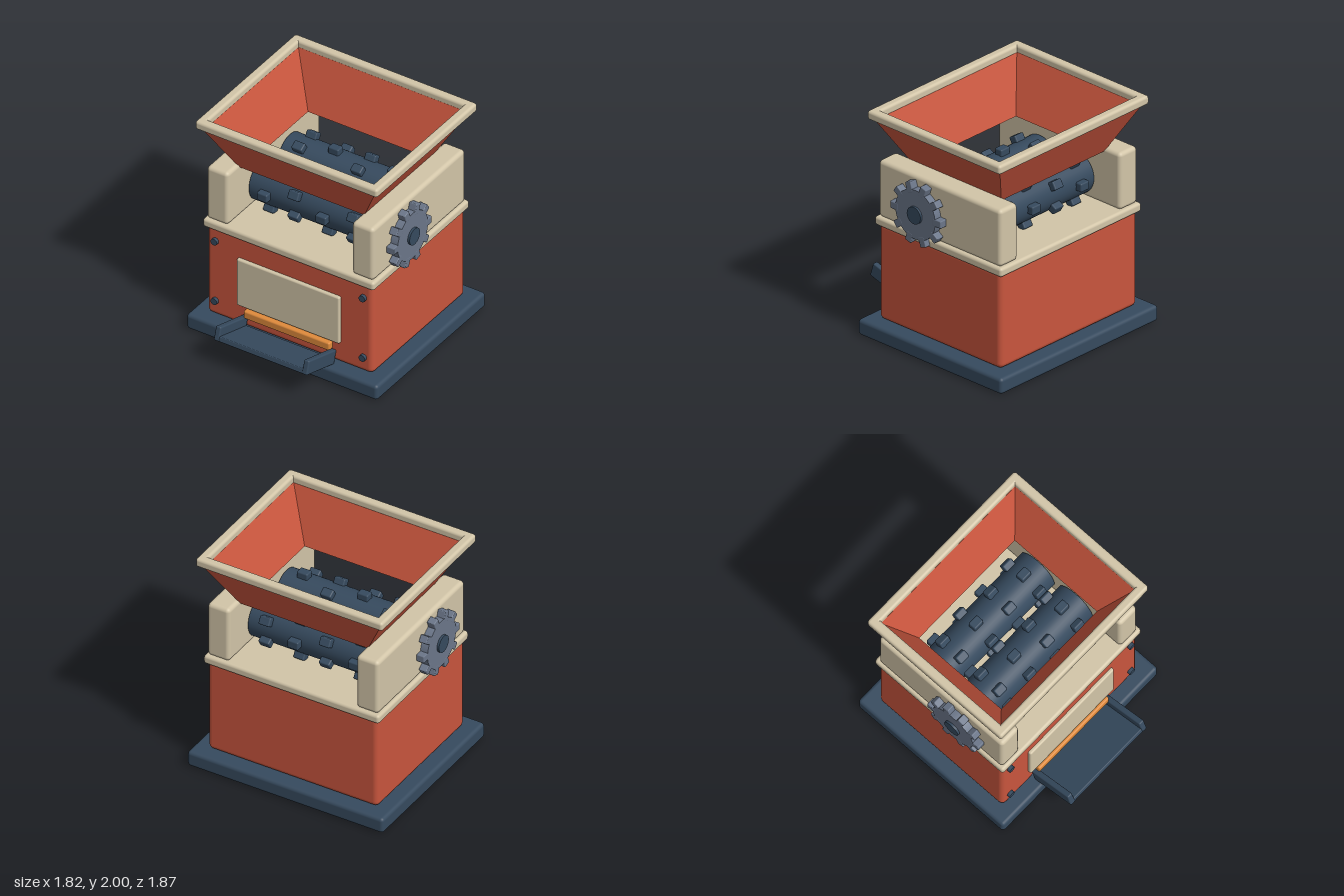
import * as THREE from 'three';
import { RoundedBoxGeometry } from 'three/addons/geometries/RoundedBoxGeometry.js';

const paint = (name, color) => {
  const m = new THREE.MeshStandardMaterial({ color });
  m.name = name;
  return m;
};

const CZ = -0.148; // depth centre of the machine

export function createModel() {
  const red = paint('red', 0xc8553d);
  const cream = paint('cream', 0xd2c5a8);
  const navy = paint('navy', 0x364a5e);
  const steel = paint('steel', 0x6b7689);
  const orange = paint('orange', 0xe08b3c);
  const model = new THREE.Group();
  model.name = 'shredder';

  const add = (parent, name, geo, mat, x = 0, y = 0, z = 0) => {
    const mesh = new THREE.Mesh(geo, mat);
    mesh.name = name;
    mesh.position.set(x, y, z);
    parent.add(mesh);
    return mesh;
  };
  const group = (name, x, y, z) => {
    const g = new THREE.Group();
    g.name = name;
    g.position.set(x, y, z);
    model.add(g);
    return g;
  };
  const box = (w, h, d, r) => new RoundedBoxGeometry(w, h, d, 3, r);
  const rodX = (r, len) => new THREE.CylinderGeometry(r, r, len, 40).rotateZ(Math.PI / 2);

  // Housing
  add(model, 'base', box(1.82, 0.14, 1.57, 0.03), navy, 0, 0.07, CZ);
  add(model, 'body', box(1.58, 0.86, 1.335, 0.045), red, 0, 0.57, CZ);
  add(model, 'deck', box(1.63, 0.08, 1.385, 0.025), cream, 0, 1.015, CZ);
  for (const s of [-1, 1])
    add(model, 'sideWall', box(0.205, 0.505, 1.335, 0.035), cream, s * 0.692, 1.303, CZ);

  // Front panel, bolts and outlet lip
  add(model, 'frontPanel', box(0.98, 0.45, 0.06, 0.015), cream, 0, 0.565, 0.52);
  for (const x of [-0.705, 0.705])
    for (const y of [0.285, 0.865])
      add(model, 'bolt', new THREE.CylinderGeometry(0.03, 0.03, 0.05, 20).rotateX(Math.PI / 2), navy, x, y, 0.522);
  add(model, 'outletLip', box(0.82, 0.075, 0.07, 0.015), orange, 0, 0.29, 0.535);

  // Tilted output tray
  const tray = group('tray', 0, 0.25, 0.728);
  tray.rotation.x = -0.295;
  add(tray, 'trayFloor', box(0.84, 0.045, 0.405, 0.008), navy, 0, -0.04, 0);
  for (const s of [-1, 1])
    add(tray, 'traySide', box(0.05, 0.125, 0.415, 0.012), navy, s * 0.42, 0, 0);

  // Toothed rollers
  for (const z of [-0.36, 0.05]) {
    const roller = group('roller', 0, 1.25, z);
    add(roller, 'drum', rodX(0.18, 1.16), navy);
    add(roller, 'axle', rodX(0.075, z > 0 ? 1.765 : 1.2), navy);
    const toothGeo = box(0.1, 0.075, 0.08, 0.012).translate(0, 0, 0.193);
    [-0.425, -0.145, 0.135, 0.415].forEach((x, col) => {
      for (let i = 0; i < 6; i++)
        add(roller, 'rollerTooth', toothGeo, navy, x).rotation.x = ((i + (col % 2) / 2) * Math.PI) / 3;
    });
  }

  // Drive gears on both sides
  for (const s of [-1, 1]) {
    const gear = group('gear', s * 0.828, 1.25, 0.05);
    add(gear, 'gearDisc', rodX(0.218, 0.07), steel);
    const cog = box(0.072, 0.065, 0.09, 0.008).translate(0, 0, 0.231);
    for (let i = 0; i < 10; i++) add(gear, 'gearTooth', cog, steel).rotation.x = (i * Math.PI) / 5;
  }

  // Hopper: a square funnel swept through [halfWidth, halfDepth, height] rings
  const rings = [[0.595, 0.49, 1.52], [0.835, 0.7, 1.94], [0.787, 0.647, 1.94], [0.56, 0.443, 1.52]];
  const corners = [[1, 1], [1, -1], [-1, -1], [-1, 1]];
  const point = (r, c) => {
    const [w, d, y] = rings[r % 4];
    const [sx, sz] = corners[c % 4];
    return [sx * w, y, sz * d];
  };
  const pos = [];
  for (let r = 0; r < 4; r++)
    for (let c = 0; c < 4; c++) {
      const [a, b, e, f] = [point(r, c), point(r, c + 1), point(r + 1, c + 1), point(r + 1, c)];
      pos.push(...a, ...b, ...e, ...a, ...e, ...f);
    }
  const funnel = new THREE.BufferGeometry();
  funnel.setAttribute('position', new THREE.Float32BufferAttribute(pos, 3));
  funnel.computeVertexNormals();
  add(model, 'hopper', funnel, red, 0, 0, CZ);

  // Hopper rim
  const rim = group('hopperRim', 0, 1.96, CZ - 0.002);
  for (const s of [-1, 1]) {
    add(rim, 'rimLong', box(1.735, 0.08, 0.08, 0.024), cream, 0, 0, s * 0.685);
    add(rim, 'rimShort', box(0.082, 0.08, 1.45, 0.024), cream, s * 0.8265, 0, 0);
  }
  return model;
}
